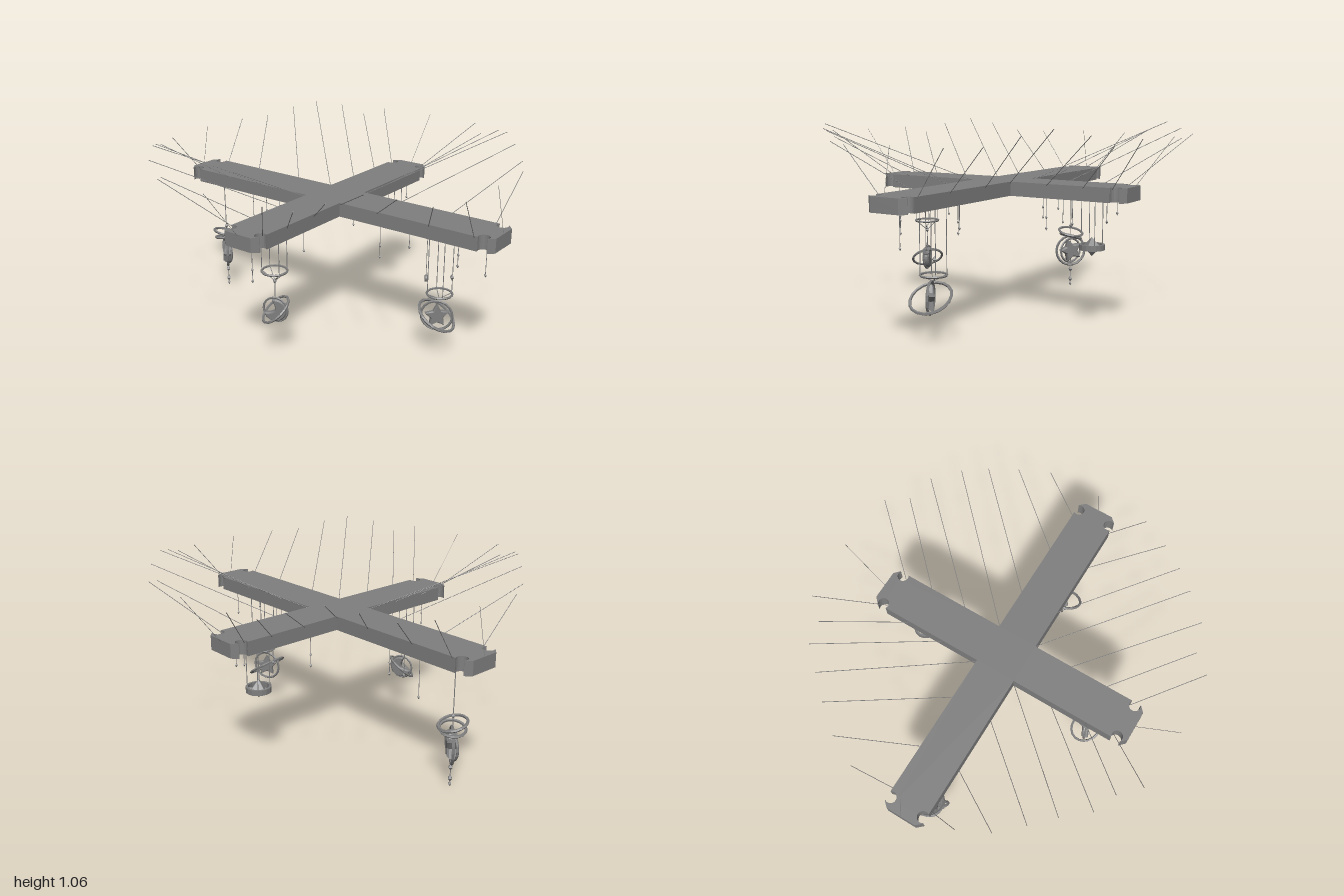
import * as THREE from 'three';

const mat = new THREE.MeshStandardMaterial({ color: 0x7f7f7f, flatShading: true, side: THREE.DoubleSide });
const V = (x, y, z) => new THREE.Vector3(x, y, z);
const UP = V(0, 1, 0);
const W = 0.112, TOP = 0.755, BOTTOM = 0.68, DECK = 0.7;

function add(parent, name, geometry, x = 0, y = 0, z = 0) {
  const m = new THREE.Mesh(geometry, mat);
  m.name = name;
  m.position.set(x, y, z);
  parent.add(m);
  return m;
}

// thin straight rod between two points
function rod(parent, name, a, b, r = 0.0017) {
  const d = b.clone().sub(a);
  const m = add(parent, name, new THREE.CylinderGeometry(r, r, d.length(), 5));
  m.position.copy(a).addScaledVector(d, 0.5);
  m.quaternion.setFromUnitVectors(UP, d.normalize());
}

// faceted ring whose axis points along n
function ring(parent, name, c, n, r, t = 0.007) {
  const m = add(parent, name, new THREE.TorusGeometry(r, t, 5, 18), c.x, c.y, c.z);
  m.quaternion.setFromUnitVectors(V(0, 0, 1), n.clone().normalize());
}

function bead(parent, x, y, z, r = 0.009) {
  add(parent, 'bead', new THREE.OctahedronGeometry(r), x, y, z).scale.y = 1.4;
}

// flat charm cut from a shape and turned about y
function charm(parent, name, shape, depth, c, turn, tilt = 0) {
  const g = new THREE.ExtrudeGeometry(shape, {
    depth, bevelEnabled: true, bevelSize: depth * 0.3, bevelThickness: depth * 0.4, bevelSegments: 1, curveSegments: 10,
  });
  g.translate(0, 0, -depth / 2);
  const m = add(parent, name, g, c.x, c.y, c.z);
  m.rotation.set(0, turn, tilt, 'YXZ');
}

function starShape(r) {
  return new THREE.Shape(Array.from({ length: 10 }, (_, i) => {
    const a = Math.PI / 2 + i * Math.PI / 5, q = i % 2 ? r * 0.5 : r;
    return new THREE.Vector2(q * Math.cos(a), q * Math.sin(a));
  }));
}

function moonShape(r) {
  const s = new THREE.Shape();
  s.absarc(0, 0, r, 0.9, 2 * Math.PI - 0.9, false);
  s.quadraticCurveTo(-r * 0.75, 0, r * Math.cos(0.9), r * Math.sin(0.9));
  return s;
}

// one quarter of the cross outline, with chamfered tips and round corner notches
function quarter() {
  const tip = (L) => {
    const p = [[L, 0.082], [L - 0.028, W]];
    for (let i = 0; i <= 12; i++) {
      const a = (35 - i * 250 / 12) * Math.PI / 180;
      p.push([L - 0.055 + 0.03 * Math.cos(a), W - 0.017 + 0.03 * Math.sin(a)]);
    }
    return p;
  };
  const zTip = tip(1).map(([a, b]) => [b, a]).reverse();
  return [...tip(0.767), [W, W], ...zTip];
}

// repeat a quarter outline in all four quadrants
function mirrorFour(q) {
  const all = [];
  [[1, 1], [-1, 1], [-1, -1], [1, -1]].forEach(([sx, sz]) => {
    const p = q.map(([x, z]) => new THREE.Vector2(x * sx, z * sz));
    all.push(...(sx * sz > 0 ? p : p.reverse()));
  });
  return all;
}

function slab(parent, name, shape, top, depth) {
  const g = new THREE.ExtrudeGeometry(shape, { depth, bevelEnabled: false });
  add(parent, name, g.rotateX(Math.PI / 2), 0, top, 0);
}

// four points around a centre, at +-dx and +-dz
const corners = (x, z, dx, dz) => [[1, 1], [-1, 1], [-1, -1], [1, -1]].map(([s, t]) => [x + s * dx, z + t * dz]);

export function createModel() {
  const root = new THREE.Group();
  root.name = 'hangingCrossMobile';
  const group = (name) => {
    const g = new THREE.Group();
    g.name = name;
    root.add(g);
    return g;
  };

  // cross with a recessed underside
  const frame = group('crossFrame');
  slab(frame, 'deck', new THREE.Shape(mirrorFour(quarter())), TOP, TOP - DECK);
  const rim = new THREE.Shape(mirrorFour(quarter()));
  const i = W - 0.025;
  rim.holes.push(new THREE.Path(mirrorFour([[0.67, i], [i, i], [i, 0.9]])));
  slab(frame, 'rim', rim, DECK, DECK - BOTTOM);

  // suspension wires fanning up and outward: foot x, z then head x, y, z
  const wires = group('suspensionWires');
  const fan = [
    [0.11, 0.9, 0.29, 0.98, 0.94], [0.11, 0.65, 0.445, 0.985, 0.865],
    [0.11, 0.345, 0.57, 1.03, 0.76], [0.11, 0.115, 0.675, 1.06, 0.66],
    [0.33, 0.115, 0.8, 1.03, 0.55], [0.54, 0.115, 0.85, 0.98, 0.415],
    [0.69, 0.09, 0.945, 1.01, 0.325],
  ];
  for (const s of [1, -1]) {
    for (const t of [1, -1])
      for (const [ax, az, bx, by, bz] of fan)
        rod(wires, 'wire', V(ax * s, 0.745, az * t), V(bx * s, by, bz * t));
    rod(wires, 'tipWire', V(0.765 * s, 0.745, 0), V(0.97 * s, 1.01, 0), 0.0012);
    rod(wires, 'tipWire', V(0, 0.745, 0.998 * s), V(0, 0.985, 0.952 * s), 0.0012);
  }

  // single strings with beads: x, z, bottom, number of beads
  const strings = group('beadStrings');
  const drops = [
    [-0.705, 0.03, 0.5, 2], [-0.335, 0.05, 0.545, 1], [0.24, -0.05, 0.495, 2], [0.435, 0.02, 0.545, 1],
    [0.645, 0.05, 0.575, 1], [0.66, -0.04, 0.61, 1], [0.015, 0.91, 0.51, 1], [-0.07, 0.8, 0.56, 2],
    [0.03, 0.46, 0.545, 1], [-0.065, 0.34, 0.495, 2], [0.015, -0.41, 0.495, 2], [0.045, -0.54, 0.535, 1],
    [0.03, -0.63, 0.44, 1],
  ];
  for (const [x, z, y, n] of drops) {
    rod(strings, 'string', V(x, DECK, z), V(x, y, z));
    for (let k = 0; k < n; k++) bead(strings, x, y + k * 0.06, z, 0.008);
  }

  // horizontal ring on strings, with cords meeting in a point below it
  function carrier(g, x, y, z, dx, dz, drop) {
    ring(g, 'carrierRing', V(x, y, z), UP, 0.066, 0.006);
    for (const [px, pz] of corners(x, z, dx, dz)) {
      rod(g, 'string', V(px, DECK, pz), V(px, y, pz), 0.0022);
      rod(g, 'cord', V(px, y, pz), V(x, y - drop, z), 0.0022);
    }
  }

  // moon mobile
  const moon = group('moonMobile'), mc = V(-0.522, 0.27, 0.01);
  carrier(moon, mc.x, 0.487, mc.z, 0.031, 0.058, 0.055);
  bead(moon, mc.x, 0.43, mc.z, 0.012);
  rod(moon, 'string', V(mc.x, 0.43, mc.z), V(mc.x, 0.33, mc.z), 0.0025);
  ring(moon, 'orbitRing', mc, V(1, 0, -0.35), 0.066, 0.006);
  ring(moon, 'tiltedRing', mc, V(-0.5, 0.75, -0.4), 0.086);
  charm(moon, 'moon', moonShape(0.055), 0.02, mc, Math.PI / 2 + 0.45, 0.5);

  // star mobile
  const star = group('starMobile'), sc = V(-0.005, 0.225, 0.66);
  carrier(star, 0.015, 0.342, sc.z, 0.047, 0.045, 0.03);
  bead(star, 0.056, 0.43, 0.705, 0.013);
  charm(star, 'smallMoon', moonShape(0.016), 0.008, V(-0.06, 0.445, 0.62), 0.6, 0.5);
  rod(star, 'string', V(-0.06, DECK, 0.62), V(-0.06, 0.455, 0.62));
  ring(star, 'orbitRing', sc, V(1, 0, -0.45), 0.081);
  ring(star, 'tiltedRing', sc, V(0.08, 0.84, 0.55), 0.107, 0.008);
  charm(star, 'star', starShape(0.06), 0.016, sc, Math.PI * 0.75);

  // ringed mobile with a bead tail
  const tail = group('tailMobile'), tc = V(-0.015, 0.23, -0.82);
  rod(tail, 'string', V(tc.x, DECK, tc.z), V(tc.x, 0.02, tc.z), 0.0025);
  ring(tail, 'upperRing', V(tc.x, 0.35, tc.z), V(0.25, 1, 0.1), 0.075, 0.008);
  ring(tail, 'upperRing', V(tc.x, 0.322, tc.z), V(0.15, 1, -0.2), 0.066, 0.008);
  ring(tail, 'orbitRing', tc, V(1, 0, 1), 0.093, 0.008);
  ring(tail, 'orbitRing', tc, V(1, 0, 0.5), 0.075);
  charm(tail, 'star', starShape(0.062), 0.03, tc, Math.PI / 4, 0.3);
  for (const [y, r] of [[0.39, 0.012], [0.108, 0.014], [0.045, 0.014], [0.014, 0.01]]) bead(tail, tc.x, y, tc.z, r);

  // spinning top mobile: band around a double cone
  const top = group('topMobile'), x = 0.543, z = 0.008;
  add(top, 'band', new THREE.LatheGeometry(
    [[0.055, 0.418], [0.067, 0.418], [0.067, 0.447], [0.055, 0.447], [0.055, 0.418]].map(([r, y]) => new THREE.Vector2(r, y)), 16), x, 0, z);
  add(top, 'doubleCone', new THREE.OctahedronGeometry(0.05), x, 0.434, z);
  for (const [px, pz] of corners(x, z, 0.038, 0.046)) {
    rod(top, 'string', V(px, DECK, pz), V(px, 0.44, pz), 0.0022);
    rod(top, 'spoke', V(px, 0.433, pz), V(x, 0.433, z), 0.004);
  }
  return root;
}
